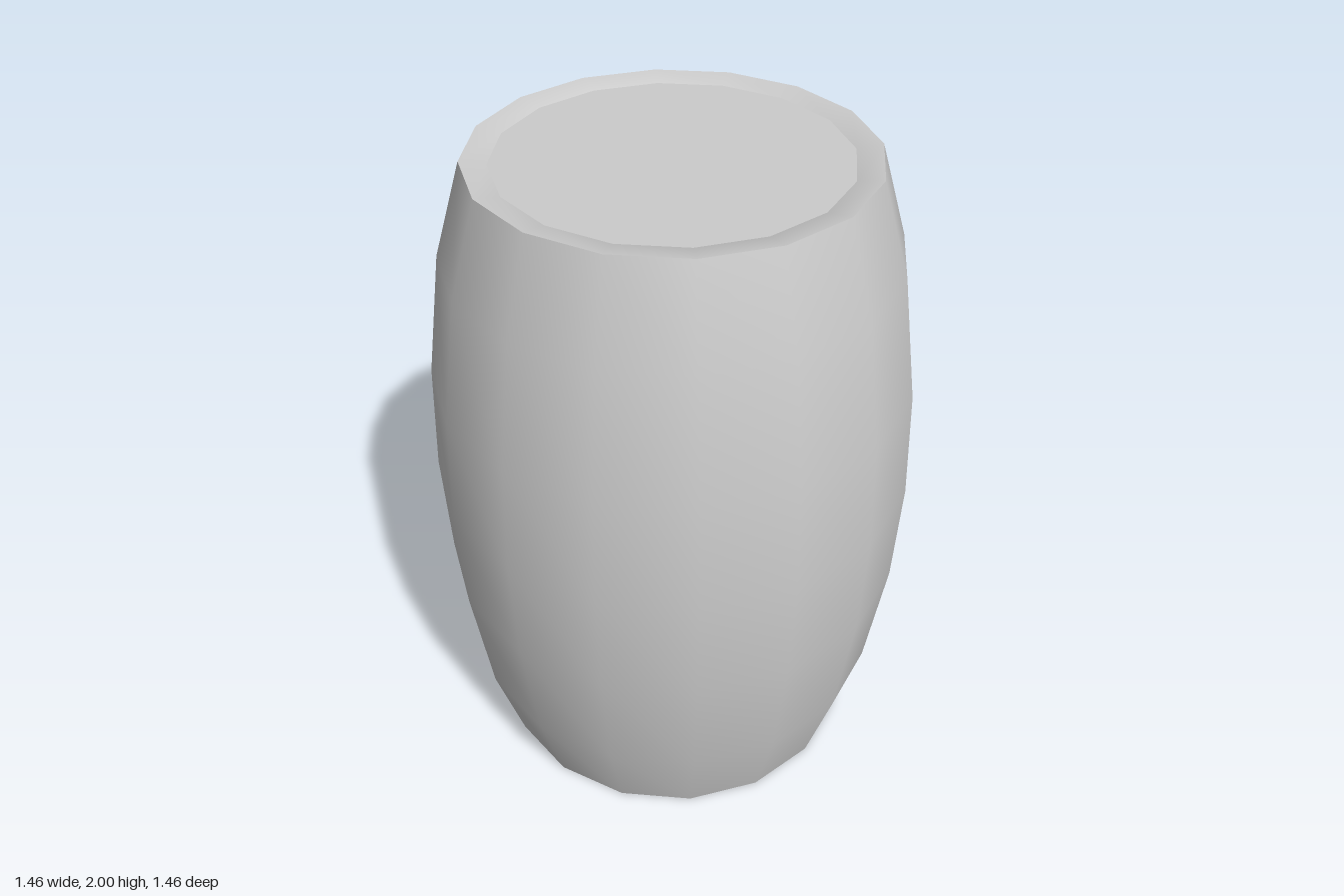
import * as THREE from 'three';

const SIDES = 16;

export function createModel() {
  const barrel = new THREE.Group();
  barrel.name = 'barrel';
  const material = new THREE.MeshStandardMaterial({ color: 0xcccccc });

  const add = (name, geometry) => {
    const mesh = new THREE.Mesh(geometry, material);
    mesh.name = name;
    barrel.add(mesh);
    return mesh;
  };
  const lathe = (points) =>
    new THREE.LatheGeometry(points.map(([r, y]) => new THREE.Vector2(r, y)), SIDES);

  // bulging staves, symmetric about mid-height
  const half = [[0.575, 0], [0.66, 0.28], [0.715, 0.66]];
  const upper = half.map(([r, y]) => [r, 2 - y]).reverse();
  add('staves', lathe([...half, [0.73, 1], ...upper]));

  // sloping rims, whose inner edge turns down behind the heads
  const rim = [[0.575, 2], [0.5, 1.988], [0.5, 1.97]];
  add('topRim', lathe(rim));
  add('bottomRim', lathe(rim.map(([r, y]) => [r, 2 - y]).reverse()));

  // flat, slightly recessed heads
  const head = new THREE.CircleGeometry(0.5, SIDES).rotateX(-Math.PI / 2);
  add('topHead', head).position.y = 1.988;
  const bottomHead = add('bottomHead', head);
  bottomHead.position.y = 0.012;
  bottomHead.rotation.x = Math.PI;

  return barrel;
}
